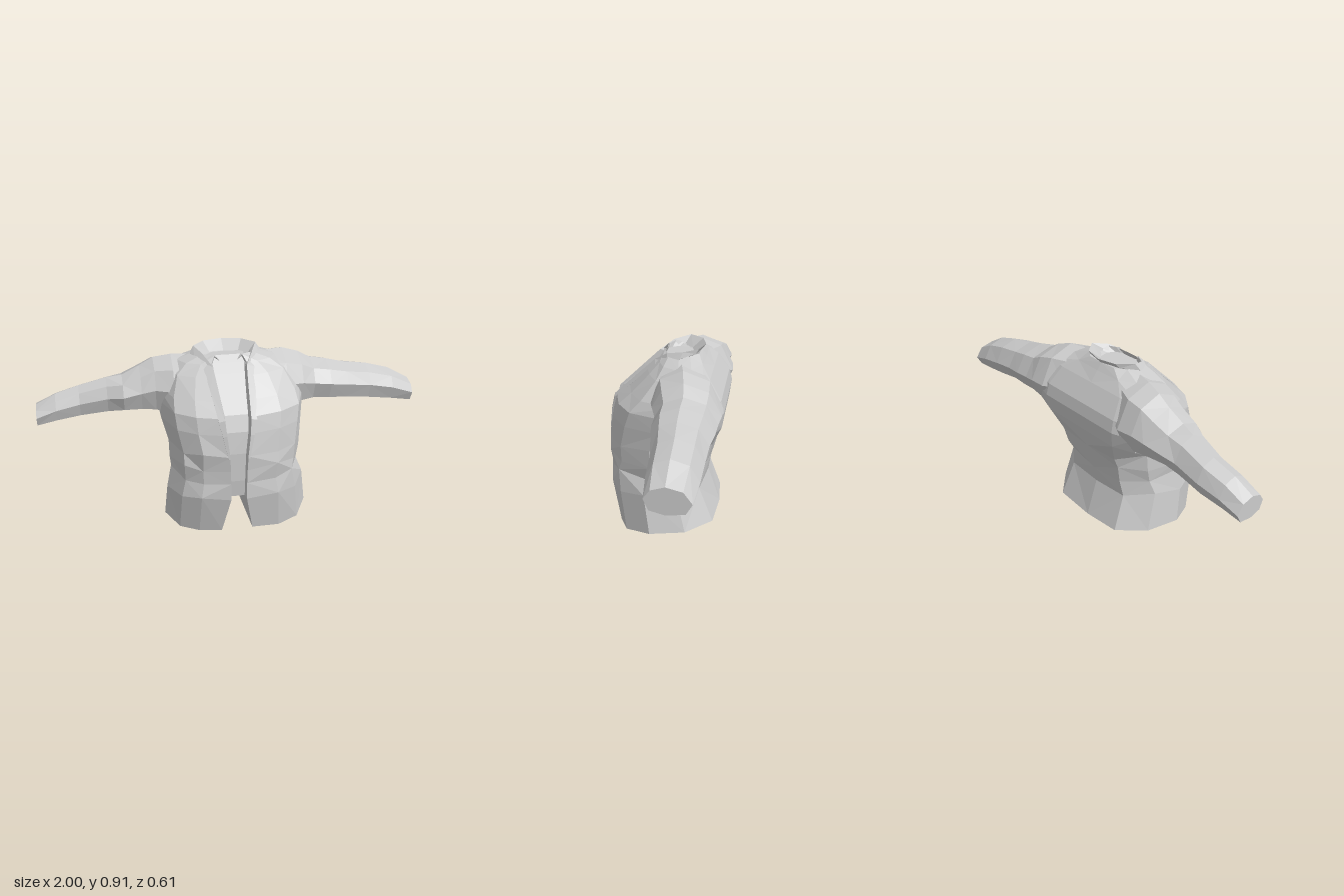
import * as THREE from 'three';

const material = new THREE.MeshStandardMaterial({ color: 0xcccccc, flatShading: true, side: THREE.DoubleSide });
const CX = -0.035; // centre line of the front opening and neck

// Skin a list of rings (arrays of [x, y, z]); caps are projected onto the two given axes.
function loft(name, rings, closed, capAxes) {
  const pos = [];
  const tri = (a, b, c) => pos.push(...a, ...b, ...c);
  for (let i = 0; i < rings.length - 1; i++) {
    const a = rings[i], b = rings[i + 1], n = a.length;
    for (let j = 0; j < (closed ? n : n - 1); j++) {
      const k = (j + 1) % n;
      // alternate the diagonals for a creased cloth look
      if ((i + j) % 2) { tri(a[j], a[k], b[k]); tri(a[j], b[k], b[j]); }
      else { tri(a[j], a[k], b[j]); tri(a[k], b[k], b[j]); }
    }
  }
  if (capAxes) {
    const [u, v] = capAxes;
    for (const [r, end] of [[rings[0], 0], [rings[rings.length - 1], 1]]) {
      const flat = r.map(p => new THREE.Vector2(p[u], p[v]));
      const ccw = THREE.ShapeUtils.area(flat) > 0;
      for (const [a, b, c] of THREE.ShapeUtils.triangulateShape(flat, [])) {
        if (ccw === !!end) tri(r[a], r[b], r[c]); else tri(r[a], r[c], r[b]);
      }
    }
  }
  const geometry = new THREE.BufferGeometry();
  geometry.setAttribute('position', new THREE.Float32BufferAttribute(pos, 3));
  geometry.computeVertexNormals();
  const mesh = new THREE.Mesh(geometry, material);
  mesh.name = name;
  return mesh;
}

// Torso: height, right x, left x, front z, back z, side z, half gap, recess z
const torsoLevels = [
  [0.035, -0.385, 0.38, 0.25, -0.275, 0.04, 0.08, -0.2],
  [0.22, -0.37, 0.35, 0.30, -0.21, 0.06, 0.04, 0.26],
  [0.31, -0.345, 0.32, 0.30, -0.225, 0.05, 0.04, 0.27],
  [0.38, -0.35, 0.335, 0.30, -0.245, 0.04, 0.042, 0.27],
  [0.46, -0.35, 0.34, 0.305, -0.265, 0.03, 0.045, 0.27],
  [0.57, -0.38, 0.36, 0.285, -0.295, -0.01, 0.06, 0.255],
  [0.65, -0.39, 0.375, 0.265, -0.305, -0.05, 0.065, 0.225],
  [0.71, -0.385, 0.365, 0.195, -0.29, -0.08, 0.072, 0.155],
  [0.80, -0.35, 0.31, 0.1, -0.23, -0.1, 0.085, 0.055],
  [0.85, -0.29, 0.23, 0.045, -0.19, -0.08, 0.09, 0.025],
  [0.885, -0.19, 0.12, 0.015, -0.165, -0.07, 0.07, 0.005],
  [0.86, -0.14, 0.07, 0.02, -0.125, -0.04, 0.045, 0.015], // recessed neck
];
// Half outline from front edge to back: fraction of width, fraction of depth
const outline = [[0.55, 0.86], [0.82, 0.62], [1, 0], [0.9, -0.55], [0.57, -0.95]];

function torsoRing([y, xr, xl, zf, zb, zs, gap, recess], level) {
  // shoulder blades are broad and flat so the back runs into the sleeves
  const broad = level > 4 && level < 9;
  const half = (edge, s) => {
    const pts = [[CX + s * gap * 0.9, y, recess], [CX + s * gap, y - (level ? 0 : 0.015), zf]];
    outline.forEach(([u, v], j) => {
      // waist folds push points in and out, the hem dips at the front
      const fold = level > 0 && level < 5 ? 0.013 * Math.sin(level * 2.3 + j * 2.1 + s) : 0;
      const hem = level ? fold : -0.035 * Math.max(0, v) * (s > 0 ? 1.15 : 0.7);
      const out = broad && v < 0 ? u + 0.09 : u;
      const depth = broad && j === 3 ? -0.85 : broad && j === 4 ? -1 : v;
      const z = zs + (v > 0 ? zf - zs : zs - zb) * depth;
      pts.push([CX + (edge - CX) * out, y + hem, z + (v > 0 ? fold * 0.7 : Math.abs(fold))]);
    });
    return pts;
  };
  return [...half(xl, 1), [CX, y, zb], ...half(xr, -1).reverse()];
}

// Sleeves: distance out, bottom y, top y, back z, front z
const leftSleeve = [
  [0.15, 0.56, 0.865, -0.25, 0.05], [0.27, 0.54, 0.865, -0.305, 0.05], [0.36, 0.56, 0.835, -0.305, 0.025],
  [0.43, 0.57, 0.795, -0.295, 0.0], [0.52, 0.565, 0.78, -0.29, 0.0], [0.62, 0.56, 0.755, -0.275, -0.015],
  [0.75, 0.54, 0.735, -0.27, -0.035], [0.88, 0.525, 0.7, -0.265, -0.04], [1, 0.51, 0.635, -0.25, -0.05],
];
const rightSleeve = [
  [0.2, 0.56, 0.87, -0.25, 0.05], [0.31, 0.54, 0.868, -0.305, 0.05], [0.4, 0.565, 0.85, -0.3, 0.01],
  [0.47, 0.575, 0.81, -0.29, -0.005], [0.56, 0.58, 0.765, -0.275, -0.015], [0.64, 0.565, 0.75, -0.26, -0.06],
  [0.78, 0.545, 0.71, -0.265, -0.09], [0.9, 0.53, 0.675, -0.255, -0.09], [1, 0.515, 0.625, -0.25, -0.09],
];
// Section: fraction of half depth (front positive), fraction of half height
const sleeveSection = [[0.1, 1], [0.72, 0.7], [1, 0.08], [0.78, -0.72], [0.1, -1], [-0.72, -0.85], [-1, -0.1], [-0.62, 0.72]];

function sleeve(name, stations, s) {
  const rings = stations.map(([x, yb, yt, zb, zf]) => sleeveSection.map(([u, v]) =>
    [s * x, (yb + yt) / 2 + (yt - yb) / 2 * v, (zb + zf) / 2 + (zf - zb) / 2 * u]));
  if (s > 0) rings.forEach(r => r.reverse());
  return loft(name, rings, true, [1, 2]);
}

// Collar and lapels: top x, y, z then width outward and drop outward
const collarHalf = [
  [0.043, 0.45, 0.308, 0.01, 0.0], [0.058, 0.57, 0.293, 0.02, 0.004], [0.064, 0.645, 0.275, 0.03, 0.008],
  [0.075, 0.76, 0.153, 0.038, 0.012], [0.085, 0.845, 0.062, 0.045, 0.015], [0.125, 0.89, -0.005, 0.04, 0.03],
  [0.16, 0.91, -0.09, 0.02, 0.03], [0.1, 0.91, -0.16, 0.01, 0.022], [0, 0.91, -0.185, 0, 0.022],
];
function collar() {
  const section = s => ([x, y, z, w, drop], i) => {
    const back = i > 5;
    const inX = back ? x * 0.75 : x * 0.96;
    return [
      [CX + s * inX, y - (back ? 0.045 : 0.01), back ? z * 0.68 : z - 0.045],
      [CX + s * x, y, z],
      [CX + s * (x + w), y - drop, z - (back ? -0.015 : w * 0.2)],
      [CX + s * (x + w * 0.9), y - drop - 0.01, z - (back ? -0.035 : 0.04)],
    ];
  };
  const left = collarHalf.map(section(1)), right = collarHalf.map(section(-1));
  return loft('collar', [...left, ...right.reverse().slice(1)], false);
}

export function createModel() {
  const group = new THREE.Group();
  group.name = 'jacket';
  // the slot below the recessed shirt panel slopes back to the hem
  group.add(loft('torso', torsoLevels.map(torsoRing).map(r => r.reverse()), true, [2, 0]));
  group.add(sleeve('leftSleeve', leftSleeve, 1));
  group.add(sleeve('rightSleeve', rightSleeve, -1));
  group.add(collar());
  return group;
}
